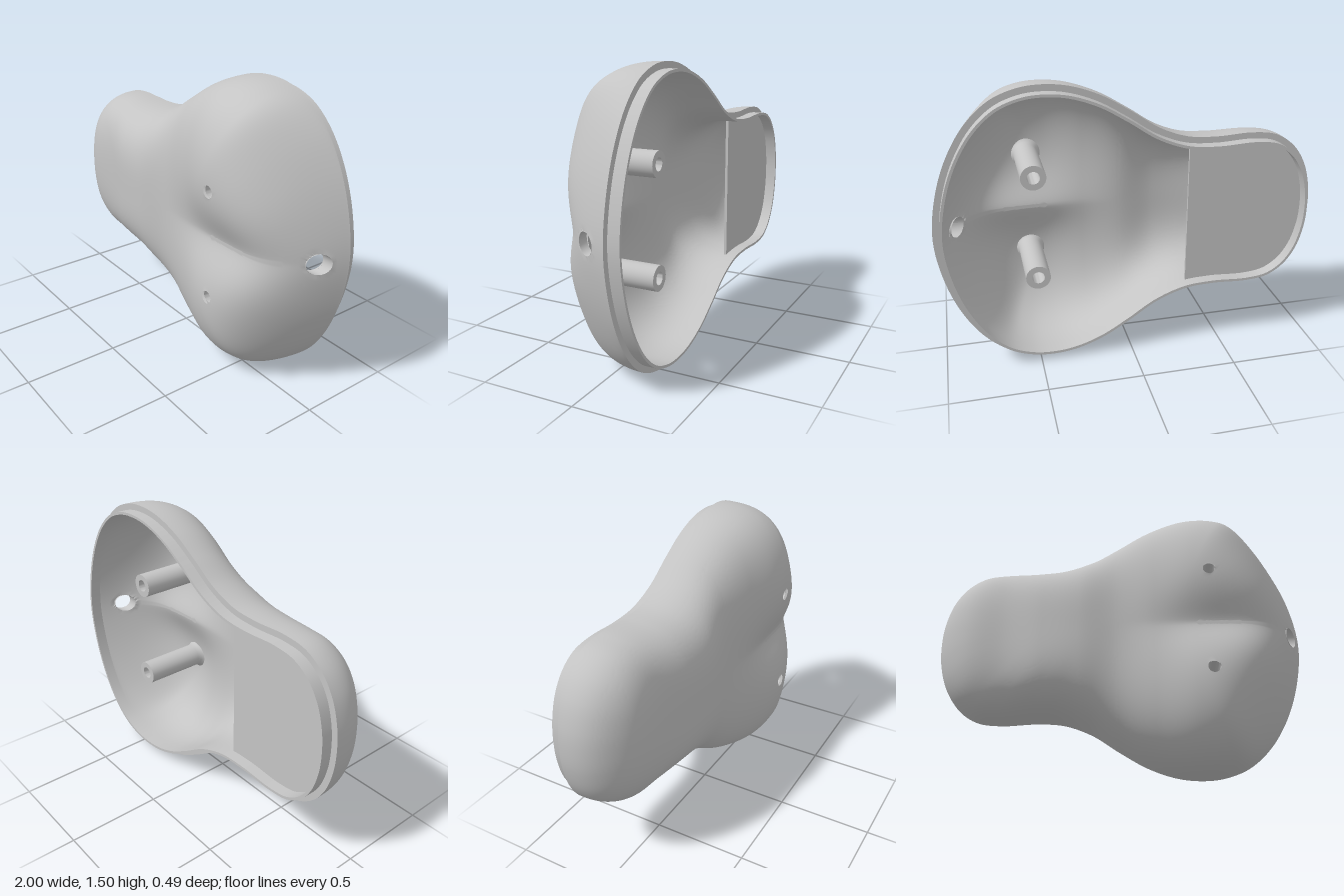
import * as THREE from 'three';
import { toCreasedNormals } from 'three/addons/utils/BufferGeometryUtils.js';

const MID = 0.75;        // height of the symmetry line
const RIM = -0.185;      // z of the shell edge
const LIP = -0.245;      // z of the locating lip
const N = 400, ROWS = 62;

// Half outline of the shell: x, distance from the symmetry line
const HALF = [
  [-1, 0], [-0.99, 0.12], [-0.95, 0.25], [-0.88, 0.35], [-0.78, 0.415], [-0.65, 0.435],
  [-0.45, 0.428], [-0.3, 0.44], [-0.15, 0.496], [0, 0.594], [0.15, 0.682], [0.3, 0.735],
  [0.43, 0.75], [0.55, 0.738], [0.68, 0.687], [0.8, 0.58], [0.9, 0.42], [0.97, 0.22], [1, 0],
];

// Evenly spaced closed outline, exactly mirrored
function makeOutline() {
  const ctrl = HALF.concat(HALF.slice(1, -1).reverse().map(([x, d]) => [x, -d]));
  const curve = new THREE.CatmullRomCurve3(ctrl.map(([x, d]) => new THREE.Vector3(x, d, 0)), true);
  curve.arcLengthDivisions = 1000;
  const half = curve.getSpacedPoints(N).slice(0, N / 2 + 1).map((p) => new THREE.Vector2(p.x, p.y));
  half[0].set(-1, 0);
  half[N / 2].set(1, 0);
  return half.concat(half.slice(1, -1).reverse().map((p) => new THREE.Vector2(p.x, -p.y)));
}

// Move a clockwise outline inwards
function inset(outline, dist) {
  return outline.map((p, i) => {
    const t = outline[(i + 1) % N].clone().sub(outline[(i + N - 1) % N]).normalize();
    return new THREE.Vector2(p.x + t.y * dist, p.y - t.x * dist);
  });
}

// Smooth value from a table spaced evenly over x = -1..1
function table(values) {
  const s = new THREE.SplineCurve(values.map((v, i) => new THREE.Vector2(i, v)));
  return (x) => s.getPoint(THREE.MathUtils.clamp((x + 1) / 2, 0, 1)).y;
}
const crown = table([0.1, 0.13, 0.127, 0.165, 0.177, 0.148, 0.19, 0.252, 0.275, 0.26, 0.21]);
const groove = table([0, 0, 0, 0, 0, 0, 0.03, 0.09, 0.115, 0.08, 0]);

// Domed surface point: rho runs from 1 at the rim to 0 on the spine
function domePoint(p, rho, drop) {
  const { smoothstep } = THREE.MathUtils;
  const x = p.x * (0.45 + 0.55 * rho), d = p.y * rho;
  const top = crown(x) - groove(x) * Math.exp(-Math.pow(Math.abs(d) / 0.17, 1.5)) - drop;
  // steep walls all round, a long slope at the wide end
  const e = 0.4 + 0.65 * smoothstep(p.x, 0.6, 1) - 0.05 * smoothstep(-p.x, 0.8, 1);
  return new THREE.Vector3(x, d, RIM + (top - RIM) * Math.pow(Math.max(0, 1 - rho ** 3.5), e));
}

function domeRows(outline, drop) {
  return Array.from({ length: ROWS + 1 }, (_, j) => {
    const rho = j === ROWS ? 0 : Math.cos((j / ROWS) * Math.PI / 2);
    return outline.map((p) => domePoint(p, rho, drop));
  });
}

// Pull vertices near a round hole onto its edge; returns those vertices
function snapHoles(rows, screwR) {
  const cut = new Set();
  const holes = [
    { u: 'x', v: 'y', cu: 0.49, cv: 0.28, r: screwR, ok: () => true },
    { u: 'x', v: 'y', cu: 0.49, cv: -0.28, r: screwR, ok: () => true },
    { u: 'y', v: 'z', cu: 0, cv: -0.055, r: 0.053, ok: (p) => p.x > 0.6 },
  ];
  for (const h of holes) for (const row of rows) for (const p of row) {
    const a = p[h.u] - h.cu, b = p[h.v] - h.cv, len = Math.hypot(a, b);
    if (!h.ok(p) || len > h.r * 1.22) continue;
    cut.add(p);
    if (len < 1e-6) continue;
    p[h.u] = h.cu + a / len * h.r;
    p[h.v] = h.cv + b / len * h.r;
  }
  return cut;
}

// Skin closed rows of points, leaving out faces inside the holes
function skin(rows, flip, cut = new Set()) {
  const pos = [];
  const face = (a, b, c) => {
    if (cut.has(a) && cut.has(b) && cut.has(c)) return;
    for (const p of flip ? [a, c, b] : [a, b, c]) pos.push(p.x, p.y, p.z);
  };
  for (let j = 0; j < rows.length - 1; j++) for (let i = 0; i < N; i++) {
    const k = (i + 1) % N;
    face(rows[j][i], rows[j + 1][i], rows[j][k]);
    face(rows[j][k], rows[j + 1][i], rows[j + 1][k]);
  }
  const g = new THREE.BufferGeometry();
  g.setAttribute('position', new THREE.Float32BufferAttribute(pos, 3));
  return toCreasedNormals(g, 0.6);
}

export function createModel() {
  const model = new THREE.Group();
  const grey = new THREE.MeshStandardMaterial({ color: 0xc4c4c4, side: THREE.DoubleSide });
  grey.name = 'grey plastic';
  const body = new THREE.Group();
  body.name = 'housingHalf';
  body.position.y = MID;
  model.add(body);
  const add = (name, geo) => {
    const m = new THREE.Mesh(geo, grey);
    m.name = name;
    body.add(m);
    return m;
  };

  const outline = makeOutline();
  const inner = inset(outline, 0.047);

  // Outer and inner skins
  const outerRows = domeRows(outline, 0);
  add('outerShell', skin(outerRows, false, snapHoles(outerRows, 0.033)));
  const innerRows = domeRows(inner, 0.04);
  add('innerShell', skin(innerRows, true, snapHoles(innerRows, 0.045)));

  // Stepped rim with the locating lip
  const lipOuter = inset(outline, 0.033);
  const ring = (pts, z) => pts.map((p) => new THREE.Vector3(p.x, p.y, z));
  add('rimLip', skin([
    ring(outline, RIM), ring(lipOuter, RIM), ring(lipOuter, LIP), ring(inner, LIP), ring(inner, RIM),
  ], true));

  // Hollow screw posts with a small flared foot
  const profile = [[0.033, 0.228], [0.033, -0.175], [0.065, -0.175], [0.065, 0.16], [0.068, 0.18],
    [0.077, 0.195], [0.092, 0.207]].map(([r, y]) => new THREE.Vector2(r, y));
  const post = toCreasedNormals(new THREE.LatheGeometry(profile, 40).rotateX(Math.PI / 2), 0.6);
  for (const side of [1, -1]) {
    add(side > 0 ? 'upperScrewPost' : 'lowerScrewPost', post).position.set(0.49, side * 0.28, 0);
  }

  // Wall of the cable hole, sheared to follow the sloping end of the shell
  const wall = new THREE.CylinderGeometry(0.053, 0.053, 0.06, 40, 1, true).rotateZ(-Math.PI / 2);
  const wp = wall.attributes.position;
  for (let i = 0; i < wp.count; i++) wp.setX(i, wp.getX(i) - 0.6 * wp.getZ(i));
  wall.computeVertexNormals();
  add('cableHoleWall', wall).position.set(0.907, 0, -0.055);

  // Flat floor plate closing the narrow end, drawn from the upper to the lower corner
  const edge = -0.31;
  const turn = (p) => (Math.atan2(p.y, p.x - edge) + 2 * Math.PI) % (2 * Math.PI);
  const plateShape = new THREE.Shape(inset(outline, 0.045).filter((p) => p.x < edge)
    .sort((a, b) => turn(a) - turn(b)));
  const plate = new THREE.ExtrudeGeometry(plateShape, { depth: 0.015, bevelEnabled: false });
  add('floorPlate', plate).position.z = -0.185;

  return model;
}
